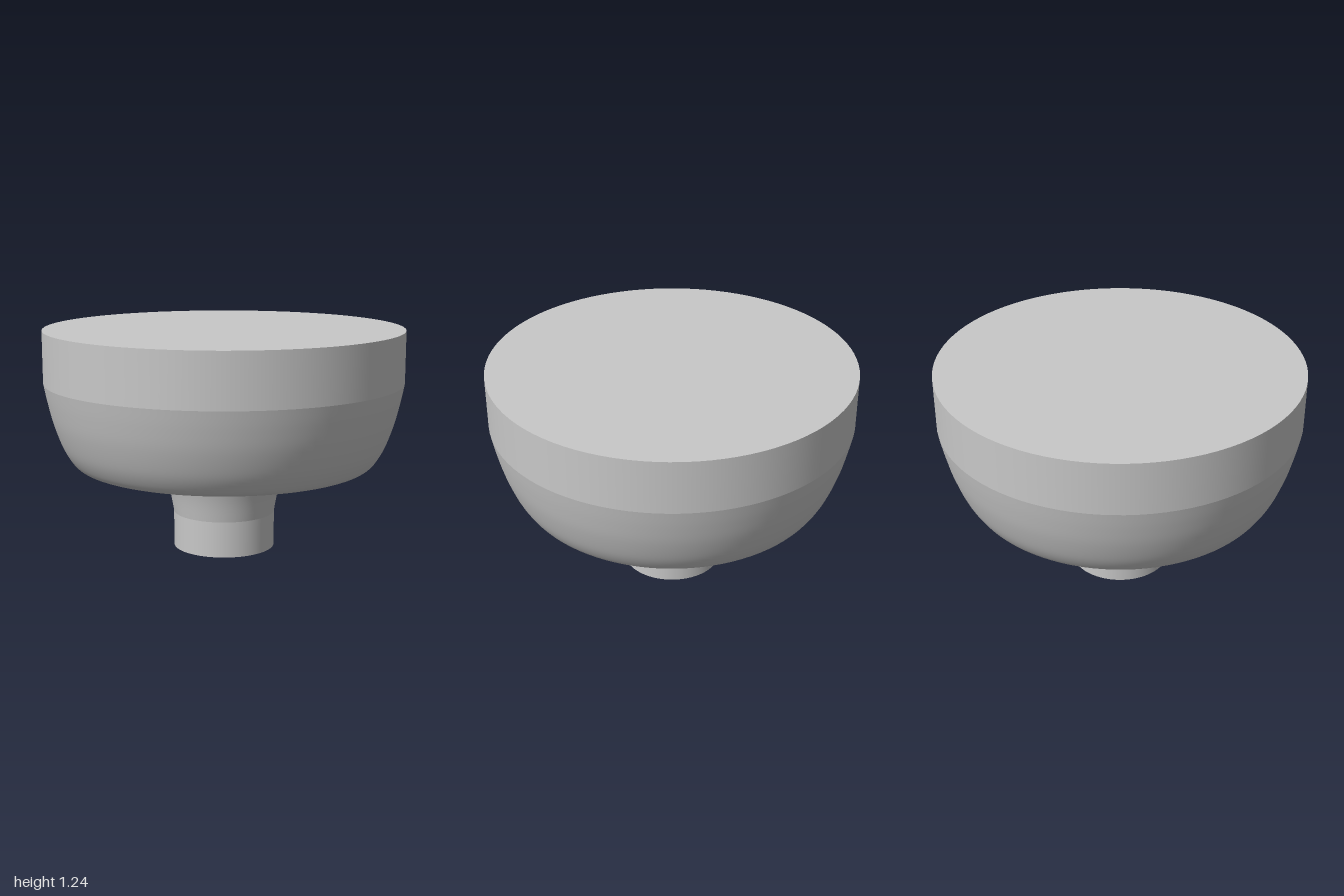
import * as THREE from 'three';

export function createModel() {
  const group = new THREE.Group();
  const grey = new THREE.MeshStandardMaterial({ color: 0xc8c8c8 });
  grey.name = 'plain grey';

  // Each turned section is its own lathe, so edges between sections stay sharp.
  const turn = (name, points) => {
    const mesh = new THREE.Mesh(new THREE.LatheGeometry(points, 96), grey);
    mesh.name = name;
    group.add(mesh);
  };
  const pts = (list) => list.map(([r, y]) => new THREE.Vector2(r, y));
  const smooth = (list, n) => new THREE.SplineCurve(pts(list)).getPoints(n);

  // Stem
  turn('stemBase', pts([[0, 0], [0.285, 0]]));
  turn('stem', pts([[0.285, 0], [0.285, 0.2]]));

  // Flare of the stem, arching over into the hollow underside and down to the rim
  turn('flareAndHollow', smooth([
    [0.285, 0.2], [0.31, 0.33], [0.355, 0.48], [0.41, 0.6], [0.48, 0.69],
    [0.56, 0.72], [0.63, 0.69], [0.68, 0.61], [0.715, 0.53], [0.75, 0.49], [0.79, 0.48],
  ], 48));

  // Rounded lower body of the head
  turn('lowerBody', smooth([
    [0.79, 0.48], [0.825, 0.49], [0.86, 0.525], [0.905, 0.605],
    [0.95, 0.73], [0.98, 0.85], [1, 0.95],
  ], 32));

  // Straight band and flat top
  turn('upperBand', pts([[1, 0.95], [1, 1.24]]));
  turn('flatTop', pts([[1, 1.24], [0, 1.24]]));

  return group;
}
